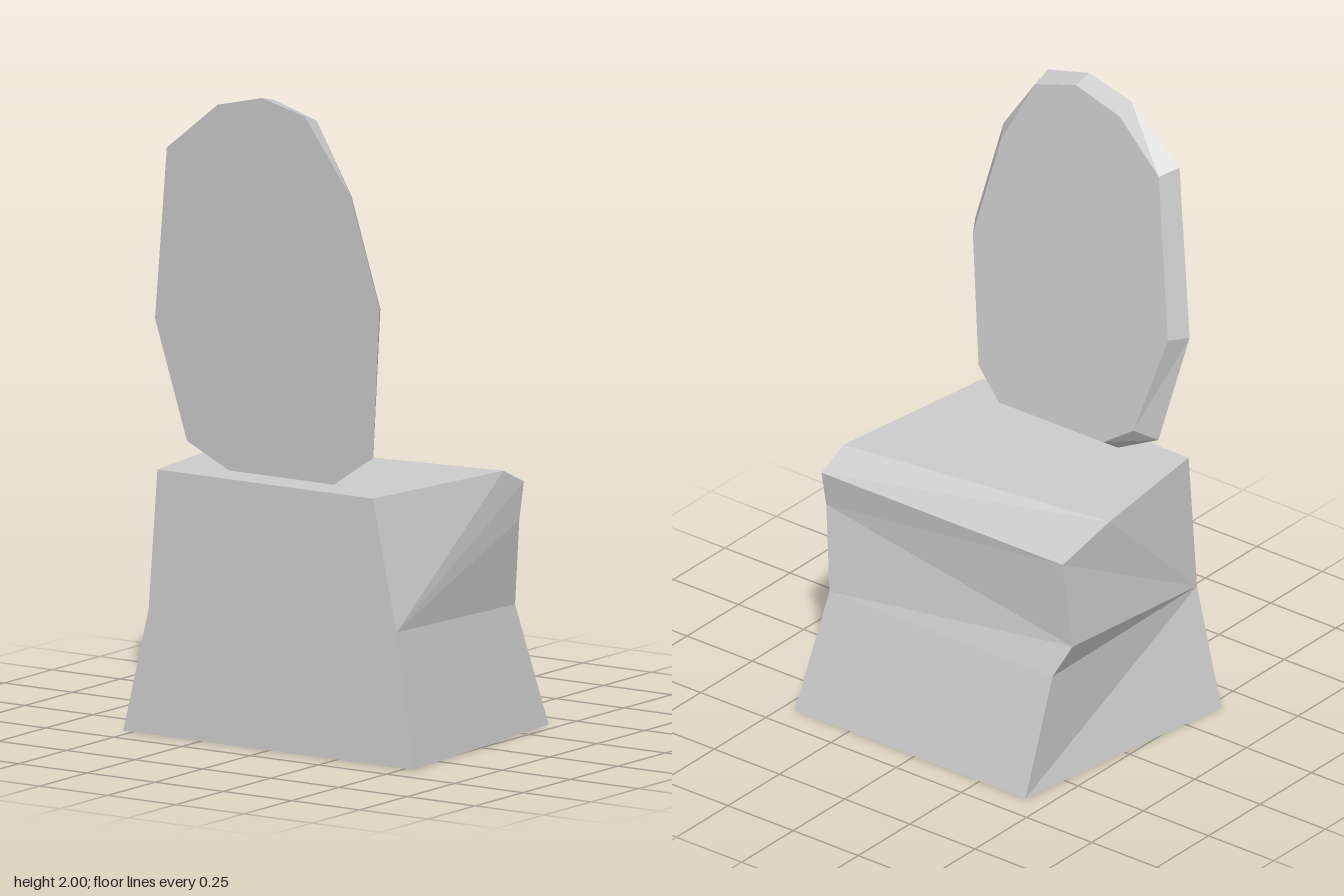
import * as THREE from 'three';

// Closed solid between two matching outlines; a runs counter-clockwise seen from outside.
function loft(name, a, b) {
  const pos = [];
  const tri = (p, q, r) => pos.push(...p, ...q, ...r);
  const n = a.length;
  for (let i = 1; i < n - 1; i++) {
    tri(a[0], a[i], a[i + 1]);
    tri(b[0], b[i + 1], b[i]);
  }
  for (let i = 0; i < n; i++) {
    const j = (i + 1) % n;
    tri(a[i], b[i], b[j]);
    tri(a[i], b[j], a[j]);
  }
  const geo = new THREE.BufferGeometry();
  geo.setAttribute('position', new THREE.Float32BufferAttribute(pos, 3));
  geo.computeVertexNormals();
  const mesh = new THREE.Mesh(geo, new THREE.MeshStandardMaterial({ color: 0xcccccc, flatShading: true }));
  mesh.name = name;
  return mesh;
}

export function createModel() {
  const group = new THREE.Group();
  group.name = 'slabOnPedestal';

  // Pedestal: the two side outlines, from the front waist down, along the floor and up the back
  const leftSide = [
    [0.467, 0.415, 0.4], [0.53, 0, 0.4], [0.46, 0, -0.41], [0.41, 0.38, -0.305],
    [0.45, 0.65, -0.27], [0.455, 0.765, -0.287], [0.455, 0.815, -0.18], [0.38, 0.815, 0.4],
  ];
  const rightSide = [
    [-0.442, 0.385, 0.4], [-0.535, 0, 0.4], [-0.425, 0, -0.41], [-0.445, 0.38, -0.305],
    [-0.495, 0.485, -0.27], [-0.47, 0.765, -0.287], [-0.47, 0.815, -0.06], [-0.41, 0.815, 0.4],
  ];
  group.add(loft('pedestal', leftSide, rightSide));

  // Leaning oval slab: outline points lie on two parallel tilted planes
  const tilt = 0.085;
  const onPlane = (points, y0, z0) => points.map(([x, y]) => [x, y, z0 + (y - y0) * tilt]);
  const front = onPlane([
    [-0.02, 2], [-0.185, 1.96], [-0.38, 1.805], [-0.455, 1.265], [-0.36, 0.895], [-0.21, 0.82],
    [0.175, 0.82], [0.325, 0.92], [0.375, 1.39], [0.29, 1.73], [0.135, 1.96],
  ], 0.82, 0.31);
  const back = onPlane([
    [-0.02, 1.985], [-0.19, 1.937], [-0.35, 1.79], [-0.42, 1.27], [-0.31, 0.935], [-0.2, 0.86],
    [0.2, 0.86], [0.285, 0.955], [0.335, 1.375], [0.25, 1.715], [0.135, 1.937],
  ], 0.86, 0.252);
  group.add(loft('ovalSlab', front, back));

  return group;
}
